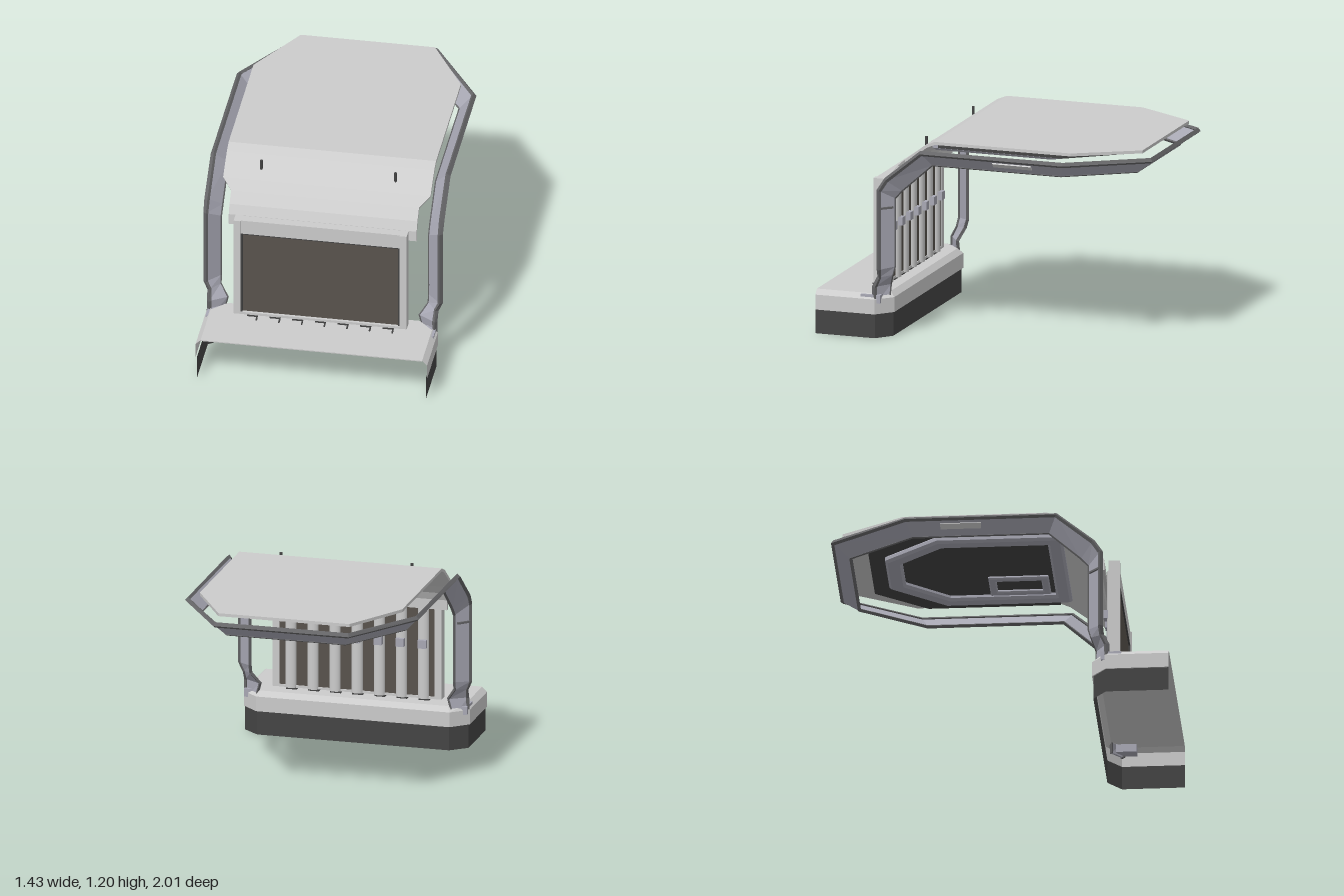
import * as THREE from 'three';

const V = (x, y, z) => new THREE.Vector3(x, y, z);
const mat = (color, flatShading = true) => new THREE.MeshStandardMaterial({ color, flatShading, side: THREE.DoubleSide });
const GREY = mat(0xcccccc), STEEL = mat(0xa8a8b4), RIM = mat(0x666668);
const DARK = mat(0x444444), GLASS = mat(0x59534d), ROUND = mat(0xcccccc, false);

export function createModel() {
  const root = new THREE.Group();

  function add(name, geo, material, x = 0, y = 0, z = 0) {
    const m = new THREE.Mesh(geo, material);
    m.name = name;
    m.position.set(x, y, z);
    root.add(m);
    return m;
  }
  const box = (name, w, h, d, material, x, y, z) => add(name, new THREE.BoxGeometry(w, h, d), material, x, y, z);

  // Joins a row of equal cross-section loops into a skin
  function loft(loops, closed = true, caps = true) {
    const pos = [], n = loops[0].length;
    const tri = (...p) => p.forEach(v => pos.push(v.x, v.y, v.z));
    for (let i = 0; i + 1 < loops.length; i++) {
      for (let j = 0; j < (closed ? n : n - 1); j++) {
        const k = (j + 1) % n, a = loops[i], b = loops[i + 1];
        tri(a[j], b[j], b[k]);
        tri(a[j], b[k], a[k]);
      }
    }
    if (caps) for (const l of [loops[0], loops[loops.length - 1]])
      for (let j = 1; j + 1 < n; j++) tri(l[0], l[j], l[j + 1]);
    const g = new THREE.BufferGeometry();
    g.setAttribute('position', new THREE.Float32BufferAttribute(pos, 3));
    g.computeVertexNormals();
    return g;
  }

  // Horizontal plate from a half outline of [x, z] points, mirrored across x
  const full = half => [...half, ...half.map(([x, z]) => [-x, z]).reverse()];
  function plate(half, y, h, hole, bevel = 0) {
    const pts = o => full(o).map(([x, z]) => new THREE.Vector2(x, -z));
    const s = new THREE.Shape(pts(half));
    if (hole) s.holes.push(new THREE.Path(pts(hole)));
    const g = new THREE.ExtrudeGeometry(s, {
      depth: h - 2 * bevel, bevelEnabled: bevel > 0, bevelThickness: bevel, bevelSize: bevel, bevelSegments: 1
    });
    return g.rotateX(-Math.PI / 2).translate(0, y + bevel, 0);
  }

  // Base: a U-shaped skirt, open at the front, with a bevelled deck
  const outline = (y, inset) => full([[0.69 - inset, 1], [0.69 - inset, 0.63], [0.59 - inset * 0.6, 0.542 + inset]])
    .map(([x, z]) => V(x, y, z));
  add('baseSkirt', loft([outline(0, 0.008), outline(0.145, 0.008)], false, false), DARK);
  add('baseUpperWall', loft([outline(0.145, 0), outline(0.235, 0), outline(0.265, 0.03)], false, false), GREY);
  add('baseDeck', plate([[0.66, 1], [0.66, 0.66], [0.572, 0.572]], 0.259, 0.006), GREY);

  // Side frame: one slanted band running up, over the roof edge and down again
  const half = [ // outer edge, inner edge
    [V(0.68, 0.2, 0.64), V(0.6, 0.2, 0.57)],
    [V(0.68, 0.31, 0.64), V(0.57, 0.31, 0.57)],
    [V(0.68, 0.37, 0.61), V(0.62, 0.38, 0.54)],
    [V(0.705, 0.42, 0.605), V(0.62, 0.43, 0.525)],
    [V(0.705, 0.9, 0.605), V(0.62, 0.84, 0.525)],
    [V(0.705, 0.97, 0.56), V(0.62, 0.89, 0.48)],
    [V(0.705, 1.15, 0.34), V(0.62, 1.06, 0.29)],
    [V(0.705, 1.15, -0.55), V(0.62, 1.06, -0.51)],
    [V(0.41, 1.15, -1), V(0.36, 1.06, -0.89)]
  ];
  const flip = v => V(-v.x, v.y, v.z);
  const rail = [...half, ...half.map(p => p.map(flip)).reverse()];
  // from and to pick the part of the band width, thick its depth
  function band(from, to, thick) {
    return loft(rail.map(([o, i], k) => {
      const prev = rail[Math.max(k - 1, 0)][0], next = rail[Math.min(k + 1, rail.length - 1)][0];
      const n = next.clone().sub(prev).cross(o.clone().sub(i)).normalize().multiplyScalar(thick / 2);
      const a = o.clone().lerp(i, from), b = o.clone().lerp(i, to);
      return [a.clone().add(n), b.clone().add(n), b.clone().sub(n), a.clone().sub(n)];
    }));
  }
  add('frameBand', band(0.05, 0.97, 0.012), STEEL);
  add('frameOuterRim', band(0, 0.14, 0.026), RIM);
  add('frameInnerRim', band(0.93, 1, 0.018), RIM);
  for (const s of [1, -1]) {
    const p = box('framePlate', 0.01, 0.035, 0.24, GREY, s * 0.675, 1.105, -0.225);
    p.rotation.z = -s * Math.PI / 4;
    // Joints on the uprights and foot brackets on the deck
    box('uprightJoint', 0.02, 0.012, 0.09, RIM, s * 0.672, 0.79, 0.565).rotation.y = s * Math.PI / 4;
    box('footBracket', 0.07, 0.05, 0.12, STEEL, s * 0.645, 0.235, 0.66);
  }

  // Roof sheet: flat, then bent down towards the screen
  const roof = [ // z, y, half width
    [-0.94, 1.2, 0.4], [-0.57, 1.2, 0.618], [0.28, 1.2, 0.618], [0.34, 1.175, 0.618],
    [0.47, 1.075, 0.618], [0.53, 1.025, 0.56], [0.585, 0.965, 0.56], [0.612, 0.91, 0.56], [0.615, 0.845, 0.56]
  ];
  add('roofSheet', loft(roof.map(([z, y, w], k) => {
    const a = roof[Math.max(k - 1, 0)], b = roof[Math.min(k + 1, roof.length - 1)];
    const len = Math.hypot(b[0] - a[0], b[1] - a[1]);
    const dz = 0.018 * (b[1] - a[1]) / len, dy = -0.018 * (b[0] - a[0]) / len;
    return [V(w, y, z), V(-w, y, z), V(-w, y + dy, z + dz), V(w, y + dy, z + dz)];
  })), GREY);
  for (const s of [1, -1])
    add('roofBolt', new THREE.CylinderGeometry(0.009, 0.009, 0.06, 8), DARK, s * 0.4, 1.145, 0.41);

  // Ceiling: dark lining, bevelled trim ring and a small hatch
  add('ceilingLining', plate([[0.56, 0.28], [0.56, -0.5], [0.33, -0.8]], 1.15, 0.03), DARK);
  add('ceilingTrim', plate([[0.43, 0.34], [0.43, -0.38], [0.18, -0.69]], 1.105, 0.05,
    [[0.37, 0.28], [0.37, -0.36], [0.155, -0.62]], 0.015), STEEL);
  add('ceilingPanel', plate([[0.39, 0.3], [0.39, -0.37], [0.16, -0.64]], 1.135, 0.02), DARK);
  add('hatchTrim', plate([[0.11, 0.17], [0.11, -0.17]], 1.115, 0.022,
    [[0.08, 0.14], [0.08, -0.14]], 0.008), STEEL).position.set(0.22, 0, 0.06);

  // Screen: frame around recessed glass
  for (const s of [1, -1]) {
    box('screenSidePost', 0.042, 0.645, 0.065, GREY, s * 0.495, 0.6025, 0.668);
    box('screenSideSeal', 0.01, 0.55, 0.05, DARK, s * 0.469, 0.56, 0.67);
  }
  box('screenHeader', 0.95, 0.09, 0.055, GREY, 0, 0.88, 0.665);
  box('screenHeaderSeal', 0.95, 0.01, 0.05, DARK, 0, 0.834, 0.667);
  box('screenSill', 0.95, 0.015, 0.065, GREY, 0, 0.287, 0.668);
  box('screenGlass', 0.95, 0.55, 0.03, GLASS, 0, 0.56, 0.668);
  box('screenBack', 0.99, 0.62, 0.012, GLASS, 0, 0.595, 0.646);

  // Seven rounded slats behind the screen, with clips and deck tabs
  for (let i = -3; i <= 3; i++) {
    const x = i * 0.135;
    const slat = add('backSlat', new THREE.CylinderGeometry(0.034, 0.034, 0.62, 10, 1, true, Math.PI / 2, Math.PI), ROUND, x, 0.59, 0.642);
    slat.scale.z = 0.7;
    box('slatClip', 0.05, 0.05, 0.03, STEEL, x, 0.62, 0.613);
    box('deckTab', 0.065, 0.02, 0.05, DARK, x, 0.273, 0.67);
    box('deckPin', 0.008, 0.01, 0.03, DARK, x + 0.03, 0.268, 0.72);
  }
  return root;
}
